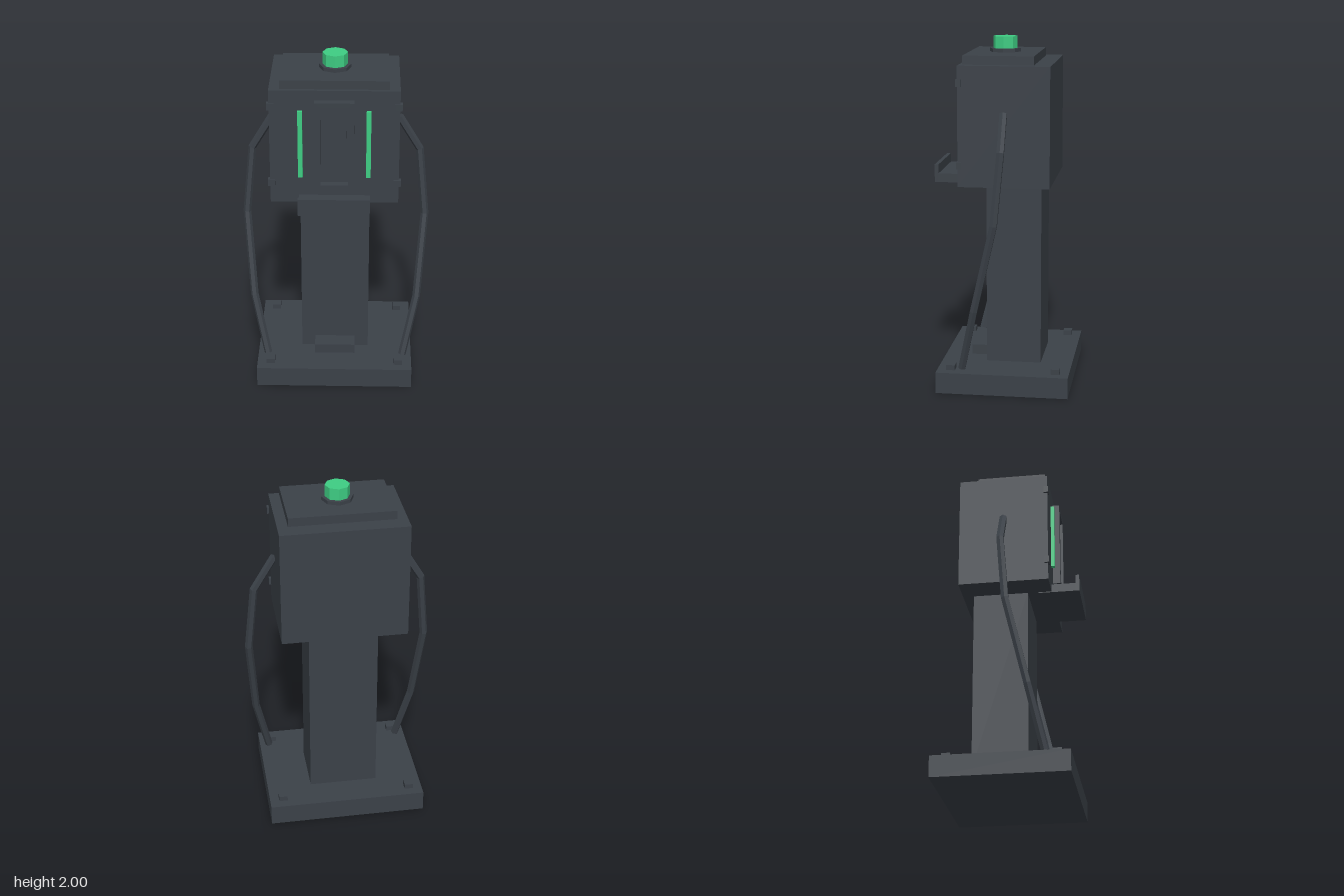
import * as THREE from 'three';

export function createModel() {
  const model = new THREE.Group();
  model.name = 'chargingPost';

  const darkMetal = new THREE.MeshStandardMaterial({ color: 0x3b4148 });
  darkMetal.name = 'dark metal';
  const greenLight = new THREE.MeshStandardMaterial({ color: 0x3ecd83 });
  greenLight.name = 'green light';

  // The rigid body sits a hair off the centre line.
  const body = new THREE.Group();
  body.name = 'body';
  body.position.x = -0.003;
  model.add(body);

  function add(name, geometry, material = darkMetal, parent = body) {
    const mesh = new THREE.Mesh(geometry, material);
    mesh.name = name;
    parent.add(mesh);
    return mesh;
  }

  // Box from its lower and upper corner.
  function box(name, [x0, y0, z0], [x1, y1, z1], material) {
    const mesh = add(name, new THREE.BoxGeometry(x1 - x0, y1 - y0, z1 - z0), material);
    mesh.position.set((x0 + x1) / 2, (y0 + y1) / 2, (z0 + z1) / 2);
    return mesh;
  }

  // Main stack
  box('base', [-0.459, 0, -0.4], [0.459, 0.122, 0.357]);
  box('column', [-0.199, 0.122, -0.217], [0.199, 1.183, 0.099]);
  box('head', [-0.359, 1.183, -0.28], [0.359, 1.862, 0.237]);
  box('topCap', [-0.299, 1.862, -0.183], [0.299, 1.912, 0.217]);
  box('footStep', [-0.119, 0.132, 0.08], [0.119, 0.19, 0.199]);

  // Tray with an upright lip
  box('trayFloor', [-0.199, 1.178, 0.16], [0.199, 1.228, 0.398]);
  box('trayLip', [-0.199, 1.178, 0.376], [0.199, 1.28, 0.398]);

  // Display frame with a recessed panel
  function rectangle(PathClass, x, y0, y1) {
    const path = new PathClass();
    path.moveTo(-x, y0);
    path.lineTo(x, y0);
    path.lineTo(x, y1);
    path.lineTo(-x, y1);
    path.closePath();
    return path;
  }
  const frameShape = rectangle(THREE.Shape, 0.109, 1.28, 1.806);
  frameShape.holes.push(rectangle(THREE.Path, 0.077, 1.31, 1.778));
  const frame = add('displayFrame',
    new THREE.ExtrudeGeometry(frameShape, { depth: 0.043, bevelEnabled: false }));
  frame.position.z = 0.236;
  box('displayPanel', [-0.068, 1.322, 0.23], [0.068, 1.764, 0.25]);

  // Mirrored fittings
  for (const side of [-1, 1]) {
    const sideName = side > 0 ? 'left' : 'right';
    const stripX = side * 0.189;
    box(sideName + 'LightStrip', [stripX - 0.013, 1.347, 0.23],
      [stripX + 0.013, 1.745, 0.257], greenLight);
    for (const y of [1.305, 1.767]) {
      const x = side * 0.351;
      box(sideName + 'CornerClip', [x - 0.02, y - 0.02, 0.216], [x + 0.02, y + 0.02, 0.244]);
    }
    for (const z of [-0.322, 0.279]) {
      const x = side * 0.38;
      box(sideName + 'BaseBolt', [x - 0.025, 0.11, z - 0.025], [x + 0.025, 0.152, z + 0.025]);
    }
  }

  // Beacon
  function octagon(name, radius, y0, y1, material) {
    const geometry = new THREE.CylinderGeometry(radius, radius, y1 - y0, 8).toNonIndexed();
    geometry.computeVertexNormals();
    add(name, geometry, material).position.set(0, (y0 + y1) / 2, 0.017);
  }
  octagon('beaconCollar', 0.09, 1.905, 1.932);
  octagon('beacon', 0.07, 1.93, 2.0, greenLight);

  // Cables: a six-sided section swept through a bent path, with closed ends
  function cableGeometry(points, radius, sides) {
    const tangents = points.map((p, i) => {
      const a = points[Math.max(i - 1, 0)];
      const b = points[Math.min(i + 1, points.length - 1)];
      const before = p.clone().sub(a).normalize();
      const after = b.clone().sub(p).normalize();
      return before.add(after).normalize();
    });
    const rings = points.map((p, i) => {
      const t = tangents[i];
      const u = new THREE.Vector3(0, 0, 1).addScaledVector(t, -t.z).normalize();
      const v = new THREE.Vector3().crossVectors(t, u);
      return Array.from({ length: sides }, (_, k) => {
        const angle = ((k + 0.5) / sides) * Math.PI * 2;
        return p.clone().addScaledVector(u, radius * Math.cos(angle))
          .addScaledVector(v, radius * Math.sin(angle));
      });
    });
    const corners = [];
    const last = rings.length - 1;
    for (let k = 0; k < sides; k++) {
      const n = (k + 1) % sides;
      for (let i = 0; i < last; i++) {
        const [a, b, c, d] = [rings[i][k], rings[i][n], rings[i + 1][n], rings[i + 1][k]];
        corners.push(a, b, c, a, c, d);
      }
      corners.push(points[0], rings[0][n], rings[0][k]);
      corners.push(points[last], rings[last][k], rings[last][n]);
    }
    const geometry = new THREE.BufferGeometry().setFromPoints(corners);
    geometry.computeVertexNormals();
    return geometry;
  }

  for (const side of [-1, 1]) {
    const path = [
      [0.36, 1.6, -0.022], [0.48, 1.4, -0.022], [0.518, 1.0, 0.012],
      [0.48, 0.5, 0.13], [0.402, 0.14, 0.212],
    ].map(([x, y, z]) => new THREE.Vector3(side * x, y, z));
    add(side > 0 ? 'leftCable' : 'rightCable', cableGeometry(path, 0.023, 6), darkMetal, model);
  }

  return model;
}
